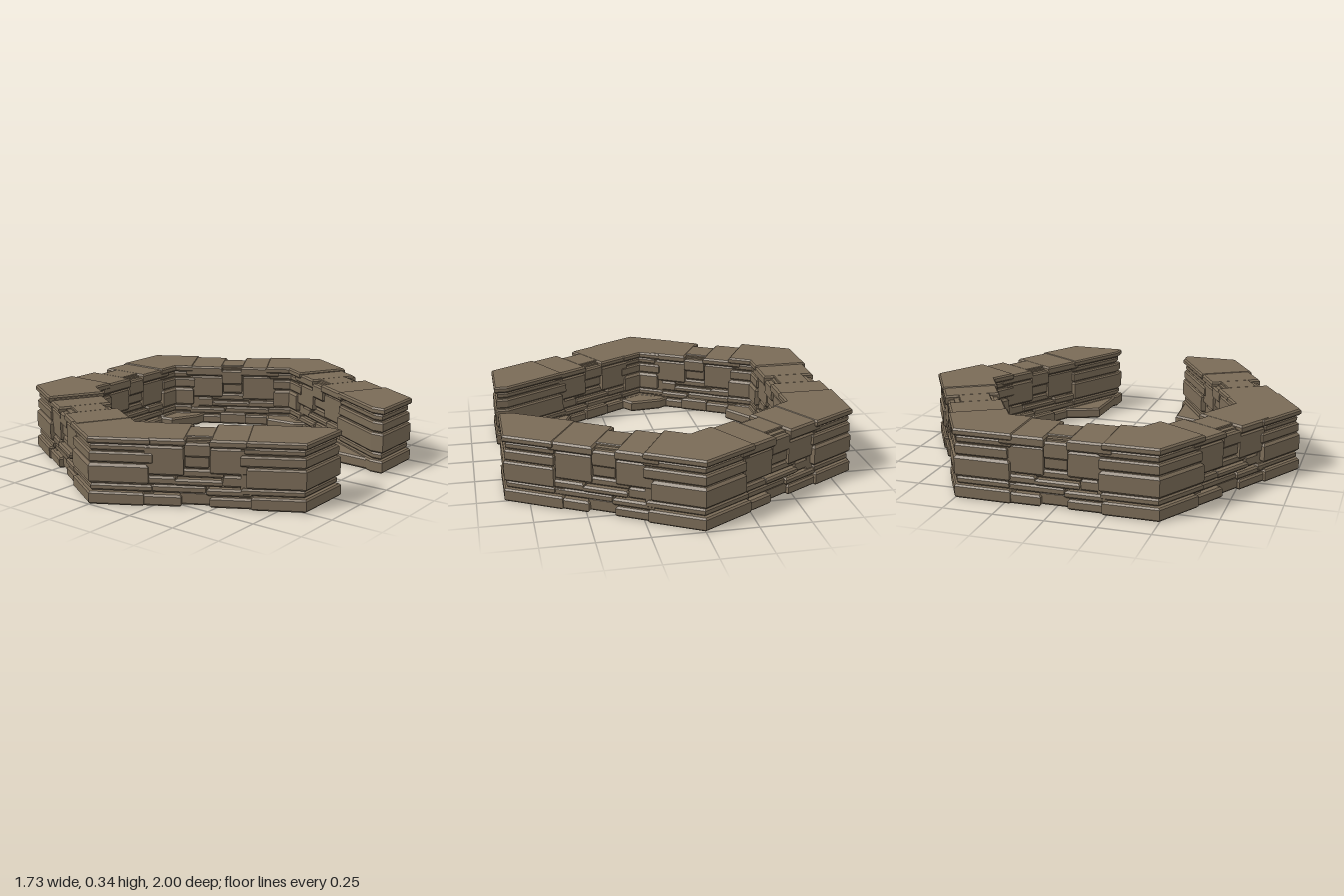
import * as THREE from 'three';

const C = Math.cos(Math.PI / 6), S = 0.5;
const OUT = 0.866, IN = 0.57; // distance of outer and inner wall faces from the centre

export function createModel() {
  const root = new THREE.Group();
  root.name = 'hexagonalStoneWall';
  const stone = new THREE.MeshStandardMaterial({ color: 0x7a6b57, roughness: 1, flatShading: true });

  let seed = 7;
  const vary = (a) => {
    seed = (seed * 16807) % 2147483647;
    return (seed / 2147483647 - 0.5) * 2 * a;
  };

  // A chamfered stone: plan outline in [x, z], raised from y0 to y1
  function slab(parent, name, plan, y0, y1, bevel = 0.009) {
    const shape = new THREE.Shape(plan.map(([x, z]) => new THREE.Vector2(x, -z)));
    const geo = new THREE.ExtrudeGeometry(shape, {
      depth: y1 - y0 - 2 * bevel, bevelEnabled: bevel > 0, bevelSize: bevel,
      bevelThickness: bevel, bevelOffset: -bevel, bevelSegments: 1,
    });
    geo.rotateX(-Math.PI / 2).translate(0, y0 + bevel, 0);
    const mesh = new THREE.Mesh(geo, stone);
    mesh.name = name;
    parent.add(mesh);
  }
  const block = (parent, name, u0, u1, v0, v1, y0, y1, bevel) =>
    slab(parent, name, [[u0, v0], [u1, v0], [u1, v1], [u0, v1]], y0, y1, bevel);

  // Point on one of the two walls meeting at a corner (s = -1 or 1, corner along +z)
  const onWall = (s, u, v) => [s * (S * v + C * u), C * v - S * u];
  const chevron = (e0, e1, inner, outer) => [
    onWall(1, -e1, outer), onWall(1, -e1, inner), [0, inner / C],
    onWall(-1, -e0, inner), onWall(-1, -e0, outer), [0, outer / C],
  ];

  // Heights of the corner courses as fractions of the wall height, and how far each is set back
  const courses = [
    [0, 0.19, 0.0], [0.2, 0.3, 0.014], [0.31, 0.61, 0.003], [0.62, 0.78, 0.01], [0.79, 0.89, 0.018], [0.9, 1, 0.002],
  ];

  // Straight wall stretch between two corners
  function wall(deg, top) {
    const g = new THREE.Group();
    g.name = 'wallStretch';
    g.rotation.y = deg * Math.PI / 180;
    root.add(g);
    block(g, 'mortarCore', -0.3, 0.3, 0.615, 0.815, 0.012, top - 0.012, 0);
    // foot stones with a narrow gap in the middle
    block(g, 'footStone', -0.26, -0.07, 0.575, 0.858, 0, 0.055);
    block(g, 'footStone', 0.06, 0.26, 0.58, 0.852, 0, 0.05);
    block(g, 'footStone', -0.08, 0.07, 0.565, 0.835, 0.004, 0.07);
    // thin levelling courses
    block(g, 'thinStone', -0.25, 0.04, 0.595, 0.84, 0.06, 0.098);
    block(g, 'thinStone', 0.045, 0.25, 0.587, 0.85, 0.055, 0.09);
    block(g, 'thinStone', -0.25, -0.1, 0.585, 0.848, 0.1, 0.14);
    block(g, 'thinStone', -0.1, 0.12, 0.59, 0.852, 0.1, 0.132);
    block(g, 'thinStone', 0.12, 0.25, 0.6, 0.835, 0.095, 0.15);
    block(g, 'thinStone', -0.1, 0.12, 0.605, 0.832, 0.135, 0.175);
    // large face stones
    block(g, 'faceStone', -0.24, -0.06, 0.59 + vary(0.006), 0.845 + vary(0.006), 0.145, 0.285);
    block(g, 'faceStone', 0.06, 0.24, 0.59 + vary(0.006), 0.842 + vary(0.006), 0.155, 0.28);
    block(g, 'faceStone', -0.055, 0.055, 0.598, 0.835, 0.18, 0.25);
    // capping slabs either side of a lower keystone
    block(g, 'capSlab', -0.27, -0.05, 0.575 + vary(0.004), 0.856 + vary(0.004), 0.288, top);
    block(g, 'capSlab', 0.06, 0.27, 0.578 + vary(0.004), 0.852 + vary(0.004), 0.284, top);
    block(g, 'capFill', -0.06, 0.07, 0.63, 0.79, 0.25, top, 0.004);
    block(g, 'keystone', -0.055, 0.062, 0.582, 0.845, 0.235, top - 0.02);
  }

  // Full corner joining two stretches
  function corner(deg, top) {
    const g = new THREE.Group();
    g.name = 'wallCorner';
    g.rotation.y = deg * Math.PI / 180;
    root.add(g);
    slab(g, 'mortarCore', chevron(0.2, 0.2, 0.6, 0.835), 0.012, top - 0.012, 0);
    courses.forEach(([a, b, inset], i) => {
      const plan = chevron(0.22 + vary(0.03), 0.22 + vary(0.03), IN + inset, OUT - inset);
      slab(g, 'cornerStone', plan, a * top, b * top, i === 2 ? 0.012 : 0.008);
    });
    // ledge filling the inner angle at ground level
    slab(g, 'innerLedge', [[-0.16, 0.6], [-0.1, 0.56], [0.07, 0.545], [0.12, 0.61], [0, 0.7]], 0.002, 0.06);
  }

  // Cut-off corner at the entrance; side = 1 front, -1 back
  function entranceEnd(side, top) {
    const g = new THREE.Group();
    g.name = 'entranceEnd';
    root.add(g);
    // point on the diagonal wall, u measured from its middle towards the entrance
    const diag = (u, v) => [S * v + C * u, side * (C * v - S * u)];
    const plan = (e, inset) => {
      const outer = OUT - inset, inner = IN + inset, z = 0.2 + inset;
      return [diag(e, inner), diag(e, outer), [outer, side * outer * Math.tan(Math.PI / 6)],
        [outer, side * z], [(inner - C * z) / S, side * z]];
    };
    slab(g, 'mortarCore', plan(0.2, 0.03), 0.012, top - 0.012, 0);
    courses.forEach(([a, b, inset]) =>
      slab(g, 'endStone', plan(0.22 + vary(0.03), inset), a * top, b * top, 0.008));
    // broad ground ledge
    slab(g, 'entranceLedge', [[0.44, side * 0.42], [0.51, side * 0.23], [0.78, side * 0.215],
      [0.82, side * 0.3], [0.6, side * 0.42]], 0.002, 0.06);
  }

  [[30, 0.322], [-30, 0.324], [-90, 0.338], [-150, 0.34], [150, 0.333]].forEach(([d, h]) => wall(d, h));
  [[0, 0.322], [-60, 0.345], [-120, 0.343], [180, 0.345]].forEach(([d, h]) => corner(d, h));
  entranceEnd(1, 0.325);
  entranceEnd(-1, 0.336);
  return root;
}
